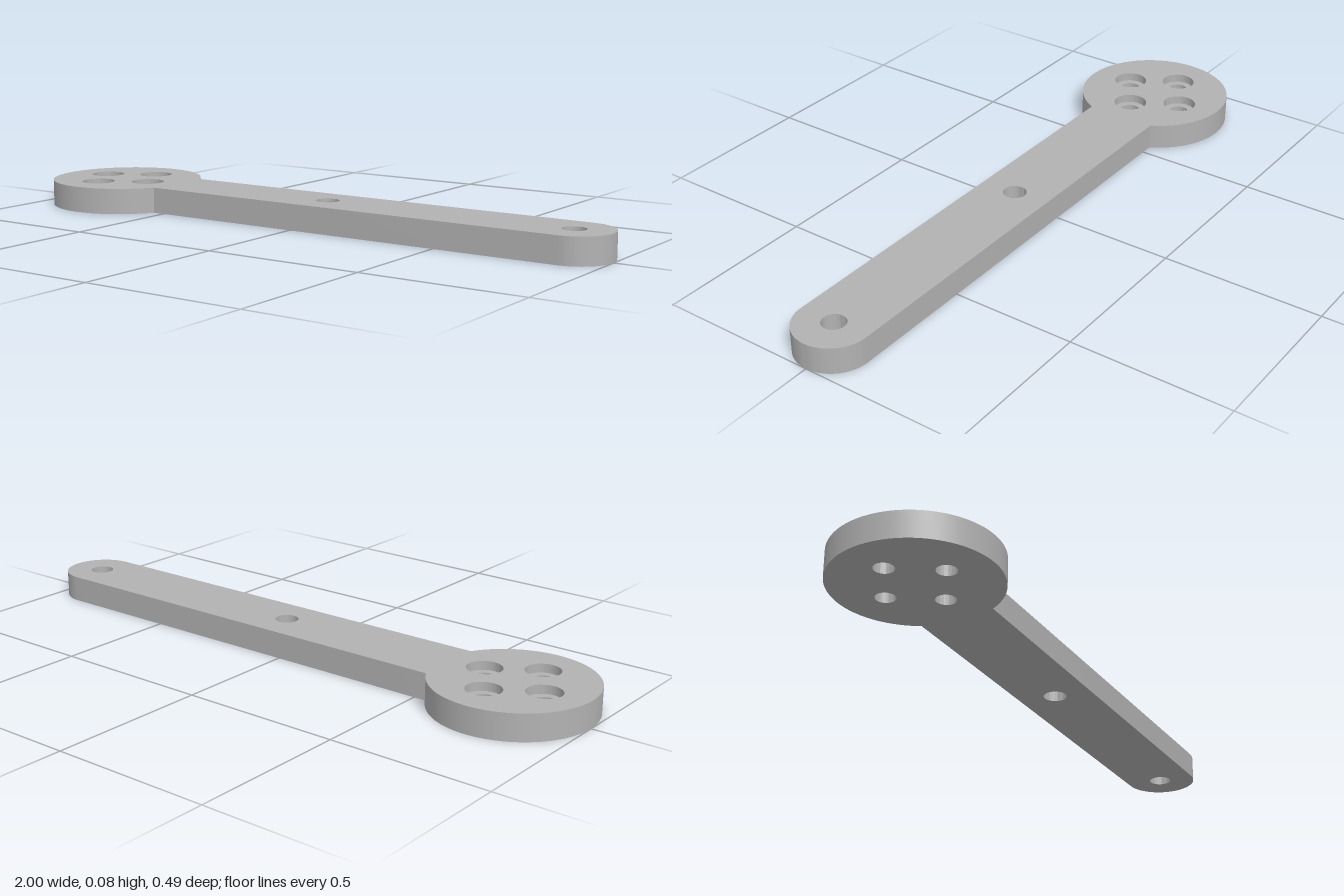
import * as THREE from 'three';
import { toCreasedNormals, mergeGeometries } from 'three/addons/utils/BufferGeometryUtils.js';

const H = 0.082, BORE = 0.027;          // plate thickness, counterbore depth
const HEAD = { x: -0.755, r: 0.245 };   // round head
const TIP = { x: 0.885, r: 0.115 };     // rounded arm end
const SCREW_R = 0.03, BORE_R = 0.053, PIN_R = 0.036;

// Four screw holes on a slightly turned square
const screws = [0, 1, 2, 3].map((i) => {
  const a = -0.235 + i * Math.PI / 2;
  return [HEAD.x + 0.116 * Math.cos(a), 0.116 * Math.sin(a)];
});
const pins = [[0.062, 0], [0.882, 0]];

// Outline of head and arm, pierced by the holes
function outline(screwRadius) {
  const shape = new THREE.Shape();
  const a = Math.asin(TIP.r / HEAD.r);
  shape.absarc(HEAD.x, 0, HEAD.r, a, 2 * Math.PI - a, false);
  shape.absarc(TIP.x, 0, TIP.r, -Math.PI / 2, Math.PI / 2, false);
  shape.closePath();
  const drill = ([x, y], r) => shape.holes.push(new THREE.Path().absarc(x, y, r, 0, 2 * Math.PI, true));
  screws.forEach((p) => drill(p, screwRadius));
  pins.forEach((p) => drill(p, PIN_R));
  return shape;
}

// Extruded layer with only its outer cap, so no faces lie inside the plate
function layer(screwRadius, y0, y1, keepTop) {
  const geo = new THREE.ExtrudeGeometry(outline(screwRadius), { depth: y1 - y0, bevelEnabled: false, curveSegments: 40 });
  const half = geo.groups[0].count / 2;
  const cut = keepTop ? 0 : half;
  const out = new THREE.BufferGeometry();
  for (const name of ['position', 'normal', 'uv']) {
    const { array, itemSize } = geo.attributes[name];
    const kept = [...array.slice(0, cut * itemSize), ...array.slice((cut + half) * itemSize)];
    out.setAttribute(name, new THREE.Float32BufferAttribute(kept, itemSize));
  }
  return out.rotateX(-Math.PI / 2).translate(0, y0, 0);
}

export function createModel() {
  const group = new THREE.Group();
  group.name = 'leverArm';
  const grey = new THREE.MeshStandardMaterial({ color: 0xb2b2b2 });
  grey.name = 'grey';

  // Plate: narrow holes below, counterbores above
  const body = mergeGeometries([
    layer(SCREW_R, 0, H - BORE, false),
    layer(BORE_R, H - BORE, H, true),
  ]);
  const plate = new THREE.Mesh(toCreasedNormals(body, 0.5), grey);
  plate.name = 'plate';
  group.add(plate);

  // Ledges at the foot of the counterbores
  for (const [x, y] of screws) {
    const ledge = new THREE.Mesh(new THREE.RingGeometry(SCREW_R, BORE_R, 80).rotateX(-Math.PI / 2), grey);
    ledge.position.set(x, H - BORE, -y);
    ledge.name = 'counterboreLedge';
    group.add(ledge);
  }
  return group;
}
